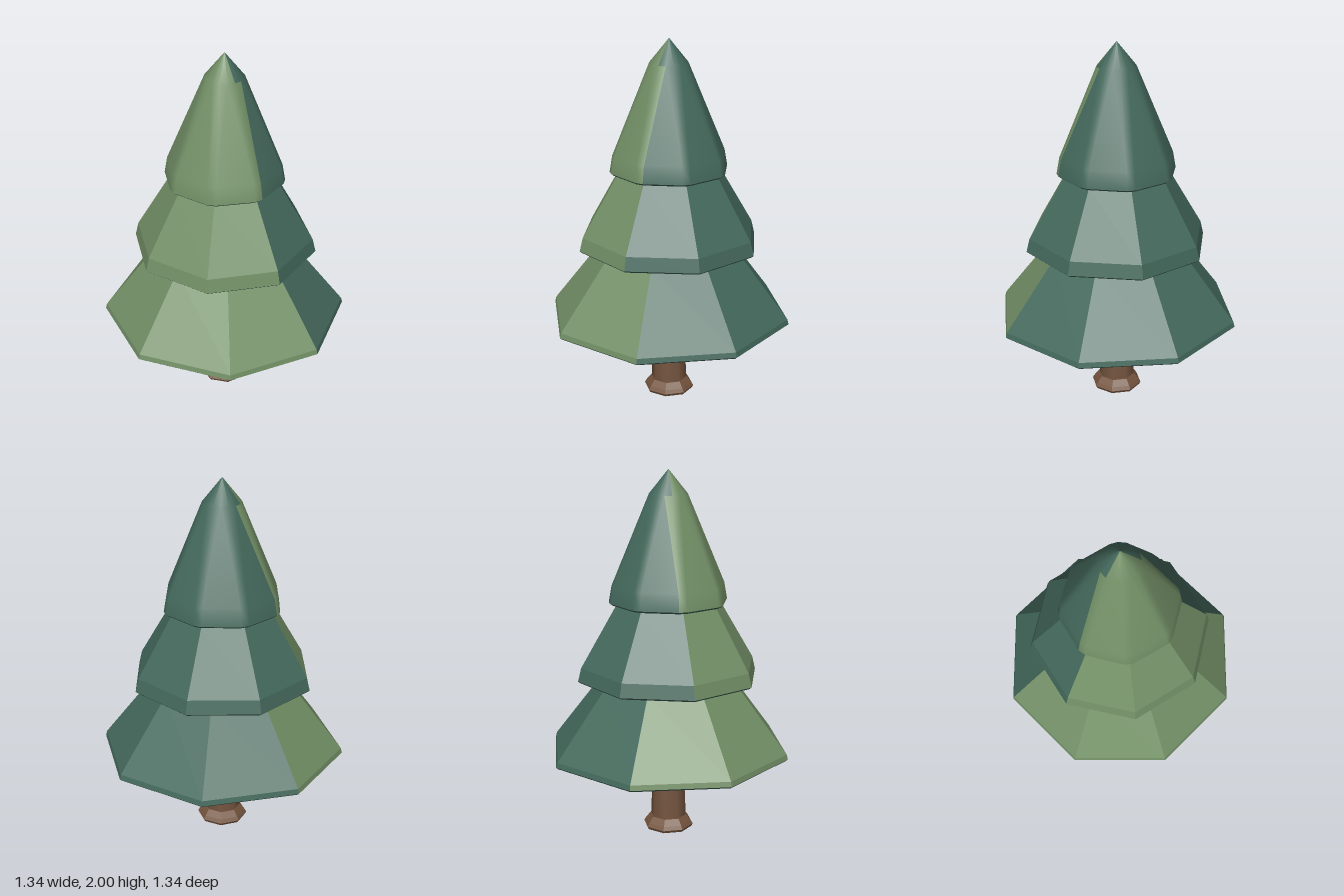
import * as THREE from 'three';

const darkGreen = new THREE.MeshStandardMaterial({ color: 0x456a5d });
const lightGreen = new THREE.MeshStandardMaterial({ color: 0x728f66 });
const bark = new THREE.MeshStandardMaterial({ color: 0x75553f });
darkGreen.name = 'darkGreen';
lightGreen.name = 'lightGreen';
bark.name = 'bark';

// Skins stacked rings { y, r, angle(i) }; isLight(band, segment, triangle) picks the colour group.
function loft(rings, sides, isLight = () => false, smooth = false) {
  const pos = [];
  for (const { y, r, angle } of rings) {
    for (let i = 0; i < sides; i++) pos.push(r * Math.sin(angle(i)), y, r * Math.cos(angle(i)));
  }
  const faces = [[], []];
  for (let k = 0; k < rings.length - 1; k++) {
    for (let i = 0; i < sides; i++) {
      const j = (i + 1) % sides;
      const a = k * sides + i, b = k * sides + j, c = b + sides, d = a + sides;
      if (rings[k].r > 0) faces[isLight(k, i, 0) ? 1 : 0].push(a, b, d);
      if (rings[k + 1].r > 0) faces[isLight(k, i, 1) ? 1 : 0].push(b, c, d);
    }
  }
  let geo = new THREE.BufferGeometry();
  geo.setAttribute('position', new THREE.Float32BufferAttribute(pos, 3));
  geo.setIndex([...faces[0], ...faces[1]]);
  geo.addGroup(0, faces[0].length, 0);
  geo.addGroup(faces[0].length, faces[1].length, 1);
  if (!smooth) geo = geo.toNonIndexed();
  geo.computeVertexNormals();
  return geo;
}

function add(group, name, geo, material) {
  const mesh = new THREE.Mesh(geo, material);
  mesh.name = name;
  group.add(mesh);
}

const even = (start, sides) => (i) => start + (i * Math.PI * 2) / sides;
const ringsOf = (profile, angle) => profile.map(([r, y]) => ({ r, y, angle }));

// Flat closed bottom with a narrow chamfer
const underside = (r, y, angle, sides) =>
  loft(ringsOf([[0, y], [r - 0.012, y], [r, y + 0.01]], angle), sides);

export function createModel() {
  const tree = new THREE.Group();
  tree.name = 'pineTree';
  const greens = [darkGreen, lightGreen];

  // Trunk and its flared foot
  const trunkAngle = even(0.2, 8);
  add(tree, 'trunk', loft(ringsOf([[0.1, 0.06], [0.083, 0.47]], trunkAngle), 8, undefined, true), bark);
  add(tree, 'trunkFoot', loft(ringsOf(
    [[0, 0], [0.132, 0], [0.14, 0.015], [0.128, 0.035], [0.102, 0.068], [0, 0.068]], trunkAngle), 8), bark);

  // Two faceted lower tiers, painted light on one side
  const tiers = [
    { name: 'lowerTier', start: 0.104, firstLight: 4, profile: [[0.675, 0.46], [0.668, 0.487], [0.372, 0.87], [0.34, 0.91], [0, 0.93]] },
    { name: 'middleTier', start: -0.12, firstLight: 5, profile: [[0.503, 0.882], [0.485, 0.955], [0.287, 1.29], [0.26, 1.33], [0, 1.35]] },
  ];
  for (const { name, start, firstLight, profile } of tiers) {
    const angle = even(start, 8);
    add(tree, name, loft(ringsOf(profile, angle), 8, (k, i) => i >= firstLight), greens);
    add(tree, name + 'Underside', underside(profile[0][0], profile[0][1] - 0.01, angle, 8), darkGreen);
  }

  // Smooth top tier: an octagon with clipped corners blending into a round tip
  const clipped = (i) => -0.15 + Math.floor(i / 2) * (Math.PI / 4) + (i % 2 ? 0.07 : -0.07);
  const round = even(-Math.PI / 16, 16);
  const topRings = [
    ...ringsOf([[0.323, 1.3], [0.307, 1.39]], clipped),
    ...ringsOf([[0.105, 1.87], [0, 2]], round),
  ];
  const topLight = (k, i, tri) =>
    i >= 10 || (k < 2 && i === 0) || (k === 1 && i === 9 && tri === 1);
  add(tree, 'topTier', loft(topRings, 16, topLight, true), greens);
  add(tree, 'topTierUnderside', underside(0.323, 1.29, clipped, 16), darkGreen);

  return tree;
}
